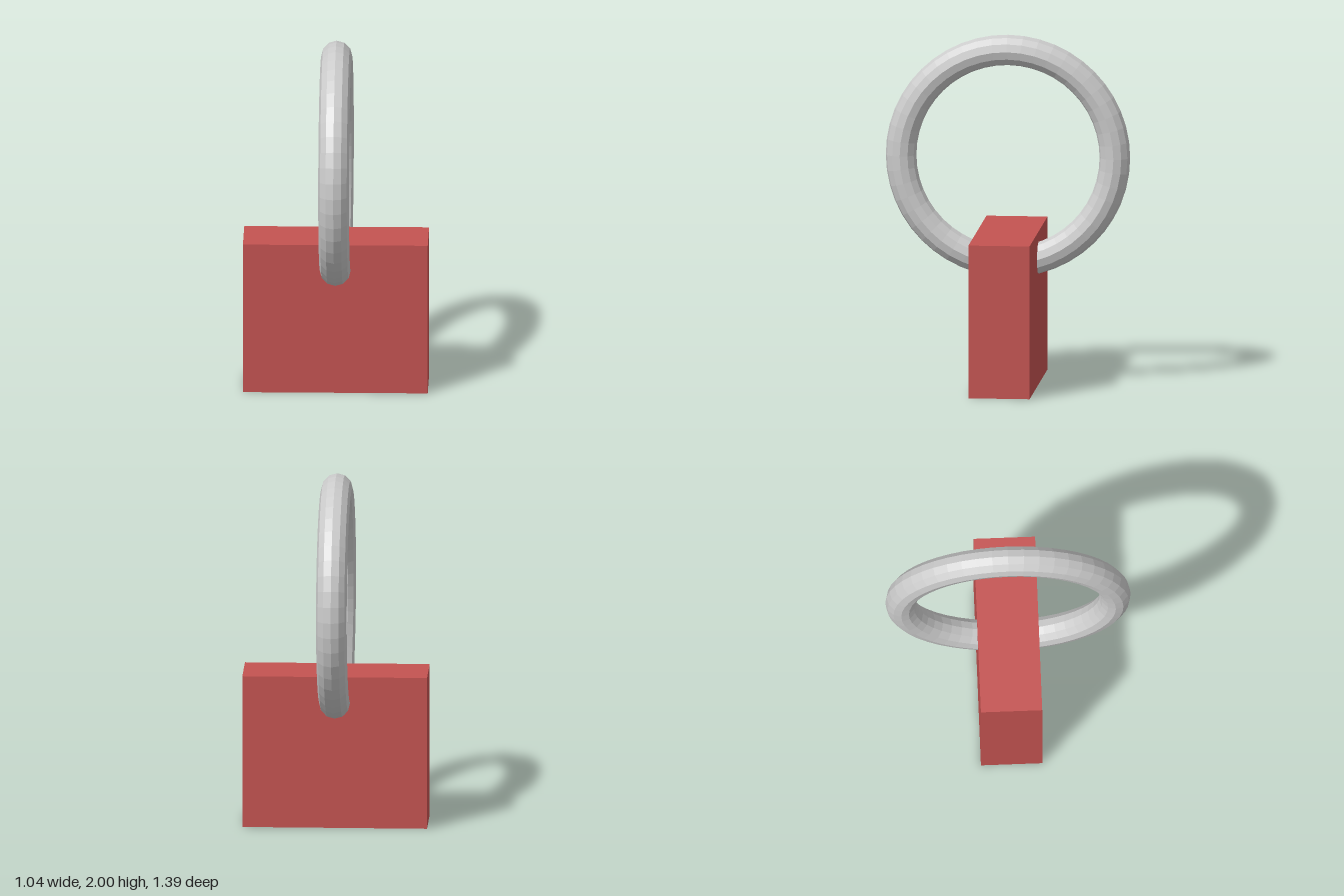
import * as THREE from 'three';

export function createModel() {
  const model = new THREE.Group();
  model.name = 'padlock';

  // Solid block body standing on the ground
  const bodyHeight = 0.875;
  const body = new THREE.Mesh(
    new THREE.BoxGeometry(1.045, bodyHeight, 0.347),
    new THREE.MeshStandardMaterial({ color: 0xc45351 })
  );
  body.name = 'body';
  body.position.y = bodyHeight / 2;
  model.add(body);

  // Full ring, faceted, passing front to back through the body
  const ringRadius = 0.607, tubeRadius = 0.087;
  const ring = new THREE.Mesh(
    new THREE.TorusGeometry(ringRadius, tubeRadius, 12, 48),
    new THREE.MeshStandardMaterial({ color: 0xcccccc, flatShading: true })
  );
  ring.name = 'shackleRing';
  ring.rotation.y = Math.PI / 2;
  ring.position.y = 2 - ringRadius - tubeRadius;
  model.add(ring);

  return model;
}
